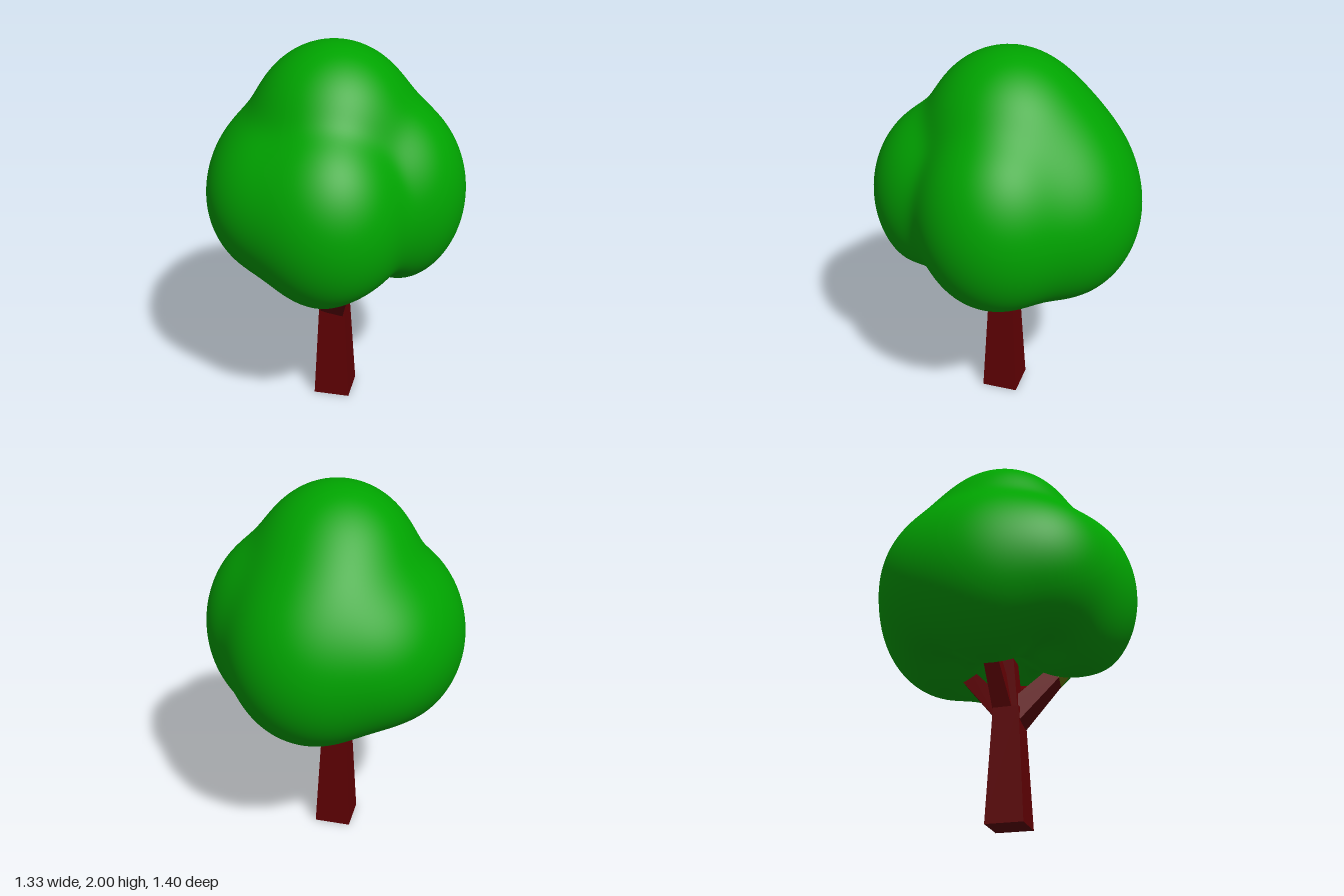
import * as THREE from 'three';
import { mergeVertices } from 'three/addons/utils/BufferGeometryUtils.js';

const paint = (name, color) => {
  const m = new THREE.MeshStandardMaterial({ color });
  m.name = name;
  return m;
};

// Foliage lobes: centre x, y, z then horizontal and vertical radius
const LOBES = [
  [-0.01, 1.555, 0, 0.415, 0.443],    // top
  [-0.02, 1.43, -0.13, 0.42, 0.42],   // shoulder behind the top
  [0.26, 1.23, -0.03, 0.405, 0.5],    // left side
  [0.03, 1.21, 0.31, 0.39, 0.48],     // front
  [0.04, 1.21, -0.26, 0.435, 0.49],   // back
  [-0.225, 1.21, 0, 0.435, 0.48],     // right side
  [-0.18, 1.24, -0.18, 0.43, 0.43],   // back right
  [-0.18, 1.24, 0.2, 0.41, 0.41],     // front right
];
const CORE = 1.25;

// Hollows under the crown: direction, depth and squared width
const HOLLOWS = [
  [0, -1, 0, 0.36, 0.15],
  [0.36, -0.8, 0.47, 0.2, 0.05],
  [-0.38, -0.82, 0.43, 0.14, 0.05],
  [-0.4, -0.82, -0.4, 0.12, 0.05],
].map(([x, y, z, depth, width]) => ({ dir: new THREE.Vector3(x, y, z).normalize(), depth, width }));

// Distance from the core to the far side of one lobe along a direction
function reach(d, [cx, cy, cz, rh, rv]) {
  const dir = new THREE.Vector3(d.x / rh, d.y / rv, d.z / rh);
  const c = new THREE.Vector3(cx / rh, (cy - CORE) / rv, cz / rh);
  const a = dir.lengthSq(), b = dir.dot(c);
  return (b + Math.sqrt(Math.max(0, b * b - a * (c.lengthSq() - 1)))) / a;
}

// Crown: a sphere pushed out to the smooth union of the lobes
function crownGeometry() {
  let geo = new THREE.IcosahedronGeometry(1, 30);
  geo.deleteAttribute('normal');
  geo.deleteAttribute('uv');
  geo = mergeVertices(geo, 1e-5);
  const pos = geo.attributes.position, d = new THREE.Vector3(), k = 22;
  for (let i = 0; i < pos.count; i++) {
    d.fromBufferAttribute(pos, i).normalize();
    let sum = 0;
    for (const lobe of LOBES) sum += Math.exp(k * reach(d, lobe));
    let r = Math.log(sum) / k;
    for (const h of HOLLOWS) r *= 1 - h.depth * Math.exp(-d.distanceToSquared(h.dir) / h.width);
    pos.setXYZ(i, d.x * r, CORE + d.y * r, d.z * r);
  }
  geo.computeVertexNormals();
  return geo;
}

// Square tapered limb between two points
function limb(name, from, to, w0, w1, material) {
  const a = new THREE.Vector3(...from), b = new THREE.Vector3(...to);
  const axis = b.clone().sub(a);
  const geo = new THREE.CylinderGeometry(w1 * Math.SQRT1_2, w0 * Math.SQRT1_2, axis.length(), 4, 1);
  geo.rotateY(Math.PI / 4);
  const flat = geo.toNonIndexed();
  flat.computeVertexNormals();
  const mesh = new THREE.Mesh(flat, material);
  mesh.name = name;
  mesh.position.copy(a).add(b).multiplyScalar(0.5);
  mesh.quaternion.setFromUnitVectors(new THREE.Vector3(0, 1, 0), axis.normalize());
  return mesh;
}

export function createModel() {
  const tree = new THREE.Group();
  tree.name = 'tree';
  const leaf = paint('leaf green', 0x00a400);
  const bark = paint('red brown bark', 0x600003);
  const cut = paint('olive cut wood', 0x6f7a08);

  const crown = new THREE.Mesh(crownGeometry(), leaf);
  crown.name = 'crown';
  tree.add(crown);

  tree.add(limb('trunk', [0, 0, 0.018], [-0.003, 0.6, 0.02], 0.195, 0.135, bark));

  // Branches fanning out of the trunk into the crown
  const branches = [
    ['frontBranch', [0, 0.55, 0.04], [0.09, 0.79, 0.235], 0.125, 0.085],
    ['leftBranch', [0, 0.66, 0.02], [0.23, 0.79, 0.05], 0.085, 0.075],
    ['backBranch', [0, 0.57, 0.01], [0.02, 0.85, -0.235], 0.105, 0.075],
    ['rightBranch', [-0.015, 0.6, 0], [-0.14, 0.88, -0.04], 0.1, 0.075],
    ['middleBranch', [0, 0.55, 0.02], [0, 0.87, 0.01], 0.125, 0.09],
  ];
  for (const [name, from, to, w0, w1] of branches) {
    tree.add(limb(name, from, to, w0, w1, bark));
  }

  // Bare wood at the branch ends
  tree.add(limb('frontBranchEnd', [0.09, 0.79, 0.235], [0.11, 0.843, 0.278], 0.085, 0.075, cut));
  tree.add(limb('leftBranchEnd', [0.23, 0.79, 0.05], [0.275, 0.815, 0.056], 0.075, 0.07, cut));
  return tree;
}
